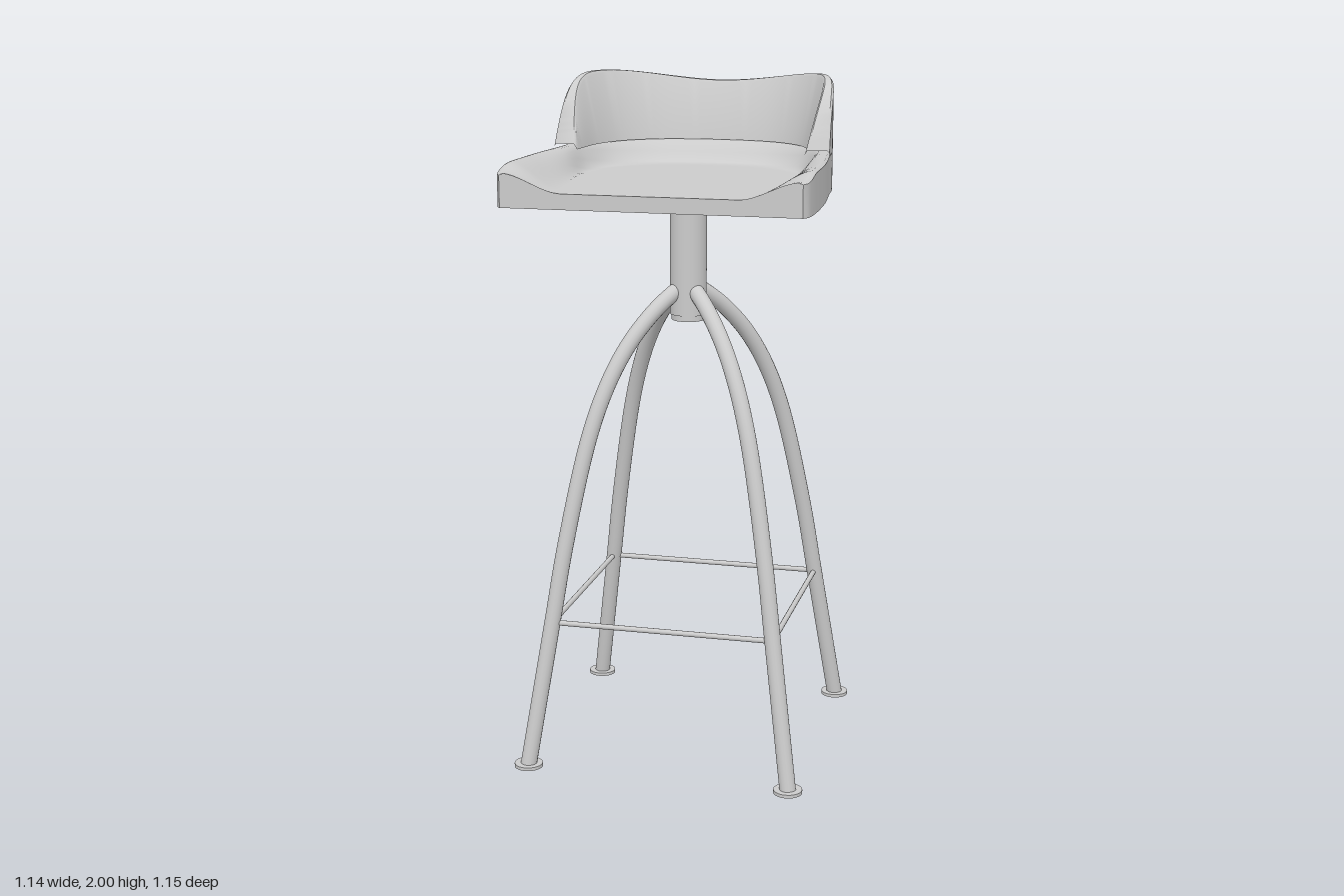
import * as THREE from 'three';
import { toCreasedNormals } from 'three/addons/utils/BufferGeometryUtils.js';

const BASE = 1.676, RIM = 1.792;
const { smoothstep } = THREE.MathUtils;
const material = new THREE.MeshStandardMaterial({ color: 0xcccccc });

// Grid surface; its front faces (step in i) x (step in j)
function grid(ni, nj, fn) {
  const pos = [], index = [];
  for (let i = 0; i <= ni; i++) for (let j = 0; j <= nj; j++) {
    pos.push(...fn(i / ni, j / nj, j));
    if (i < ni && j < nj) {
      const a = i * (nj + 1) + j, b = a + nj + 1;
      index.push(a, b, a + 1, b, b + 1, a + 1);
    }
  }
  const g = new THREE.BufferGeometry();
  g.setAttribute('position', new THREE.Float32BufferAttribute(pos, 3));
  g.setIndex(index);
  g.computeVertexNormals();
  return g;
}

function add(parent, name, geometry, x = 0, y = 0, z = 0) {
  const mesh = new THREE.Mesh(geometry, material);
  mesh.name = name;
  mesh.position.set(x, y, z);
  parent.add(mesh);
  return mesh;
}

// U-shaped seat outline, from one front corner round the back to the other
const half = [[0.424, 0.452], [0.435, 0.435], [0.434, 0.2], [0.411, -0.02], [0.389, -0.186],
  [0.324, -0.318], [0.2, -0.41]];
const outline = new THREE.CatmullRomCurve3([
  ...half, [0, -0.442], ...half.slice().reverse().map(([x, z]) => [-x, z]),
].map(([x, z]) => new THREE.Vector3(x, 0, z)), false, 'centripetal');
outline.arcLengthDivisions = 600;
const front = new THREE.Vector3(0, 0, 0.452);

// Height of the dished top at distance d in from the rim point p
function topHeight(p, d) {
  const back = 1 - smoothstep(p.z, -0.2, 0.2);
  const from = 0.06 * back, to = 0.18 - 0.05 * back;
  const rim = RIM - 0.02 * smoothstep(p.z, 0.33, 0.46) - 0.006 * (1 - smoothstep(d, 0, 0.012));
  return rim - (rim - 1.72) * smoothstep(d, from, to);
}

function buildSeat() {
  const seat = new THREE.Group();
  seat.name = 'seat';
  const N = 120;
  add(seat, 'seatTop', grid(N, 28, (s, k) => {
    const p = outline.getPointAt(s), d = p.distanceTo(front) * k ** 1.6;
    const q = p.clone().lerp(front, k ** 1.6);
    return [q.x, topHeight(p, d), q.z];
  }));
  add(seat, 'seatSide', grid(N, 1, (s, k) => {
    const p = outline.getPointAt(s);
    return [p.x, k ? topHeight(p, 0) : BASE, p.z];
  }));
  add(seat, 'seatBottom', grid(N, 1, (s, k) => {
    const p = front.clone().lerp(outline.getPointAt(s), k);
    return [p.x, BASE, p.z];
  }));
  add(seat, 'seatFrontEdge', grid(64, 1, (s, k) => {
    const corner = outline.getPointAt(0), x = (2 * s - 1) * corner.x;
    return [x, k ? topHeight(corner, corner.x - Math.abs(x)) : BASE, corner.z];
  }));
  add(seat, 'mountingPlate', new THREE.BoxGeometry(0.44, 0.01, 0.44), 0, 1.671, 0);
  return seat;
}

// Low wrap-around back: vertical outside, thinner towards its wavy top
function buildBackrest() {
  const start = 0.205, y0 = 1.788;
  const section = (s) => {
    const u = start + (1 - 2 * start) * s;
    const p = outline.getPointAt(u), t = outline.getTangentAt(u);
    const e = 1 - Math.abs(2 * s - 1);
    const h = 0.015 + 0.197 * (1 - (1 - Math.min(e / 0.4, 1)) ** 3) - 0.035 * smoothstep(e, 0.4, 1);
    const top = 0.072 - 0.21 * h;
    const profile = [[0, 0], [0, h - 0.008], [0.006, h], [top - 0.006, h], [top, h - 0.008],
      [0.072, 0], [0, 0]];
    return profile.map(([d, y]) => [p.x + t.z * d, y0 + y, p.z - t.x * d]);
  };
  // Denser steps near the steep ends
  const ease = (s) => 0.5 - 0.5 * Math.cos(Math.PI * s);
  const back = new THREE.Group();
  back.name = 'backrest';
  add(back, 'backrestShell', toCreasedNormals(grid(100, 6, (s, k, j) => section(ease(s))[j]), 0.7));
  for (const s of [0, 1]) {
    const pts = section(s).slice(0, 6), cap = new THREE.BufferGeometry();
    cap.setAttribute('position', new THREE.Float32BufferAttribute(pts.flat(), 3));
    const fan = [];
    for (let i = 1; i < 5; i++) fan.push(0, ...(s ? [i, i + 1] : [i + 1, i]));
    cap.setIndex(fan);
    cap.computeVertexNormals();
    add(back, 'backrestEnd', cap);
  }
  return back;
}

// Four bowed legs on round feet, joined by thin rungs
function buildBase() {
  const base = new THREE.Group();
  base.name = 'base';
  add(base, 'column', new THREE.CylinderGeometry(0.054, 0.054, 0.355, 40), 0, 1.4925, 0);
  add(base, 'columnCap', new THREE.CylinderGeometry(0.05, 0.05, 0.018, 40), 0, 1.307, 0);
  const path = new THREE.CatmullRomCurve3([[0.025, 1.395], [0.06, 1.375], [0.125, 1.325],
    [0.205, 1.24], [0.275, 1.13], [0.338, 0.98], [0.42, 0.67], [0.468, 0.435], [0.555, 0.006],
  ].map(([r, y]) => new THREE.Vector3(r, y, 0)));
  const tube = new THREE.TubeGeometry(path, 48, 0.024, 16);
  const rungR = 0.468 * Math.SQRT1_2;
  for (let i = 0; i < 4; i++) {
    const side = new THREE.Group();
    side.name = 'legUnit';
    side.rotation.y = Math.PI / 4 + i * Math.PI / 2;
    add(side, 'leg', tube);
    add(side, 'foot', new THREE.CylinderGeometry(0.042, 0.042, 0.01, 32), 0.555, 0.005, 0);
    base.add(side);
    const a = i * Math.PI / 2;
    const rung = add(base, 'rung', new THREE.CylinderGeometry(0.008, 0.008, 2 * rungR, 12),
      rungR * Math.cos(a), 0.435, -rungR * Math.sin(a));
    rung.rotation.set(Math.PI / 2, a, 0, 'YXZ');
  }
  return base;
}

export function createModel() {
  const stool = new THREE.Group();
  stool.name = 'barStool';
  stool.add(buildSeat(), buildBackrest(), buildBase());
  // The whole stool stands turned slightly to one side
  stool.rotation.y = -25 * Math.PI / 180;
  stool.position.set(0.007, 0, -0.015);
  const model = new THREE.Group();
  model.add(stool);
  return model;
}
